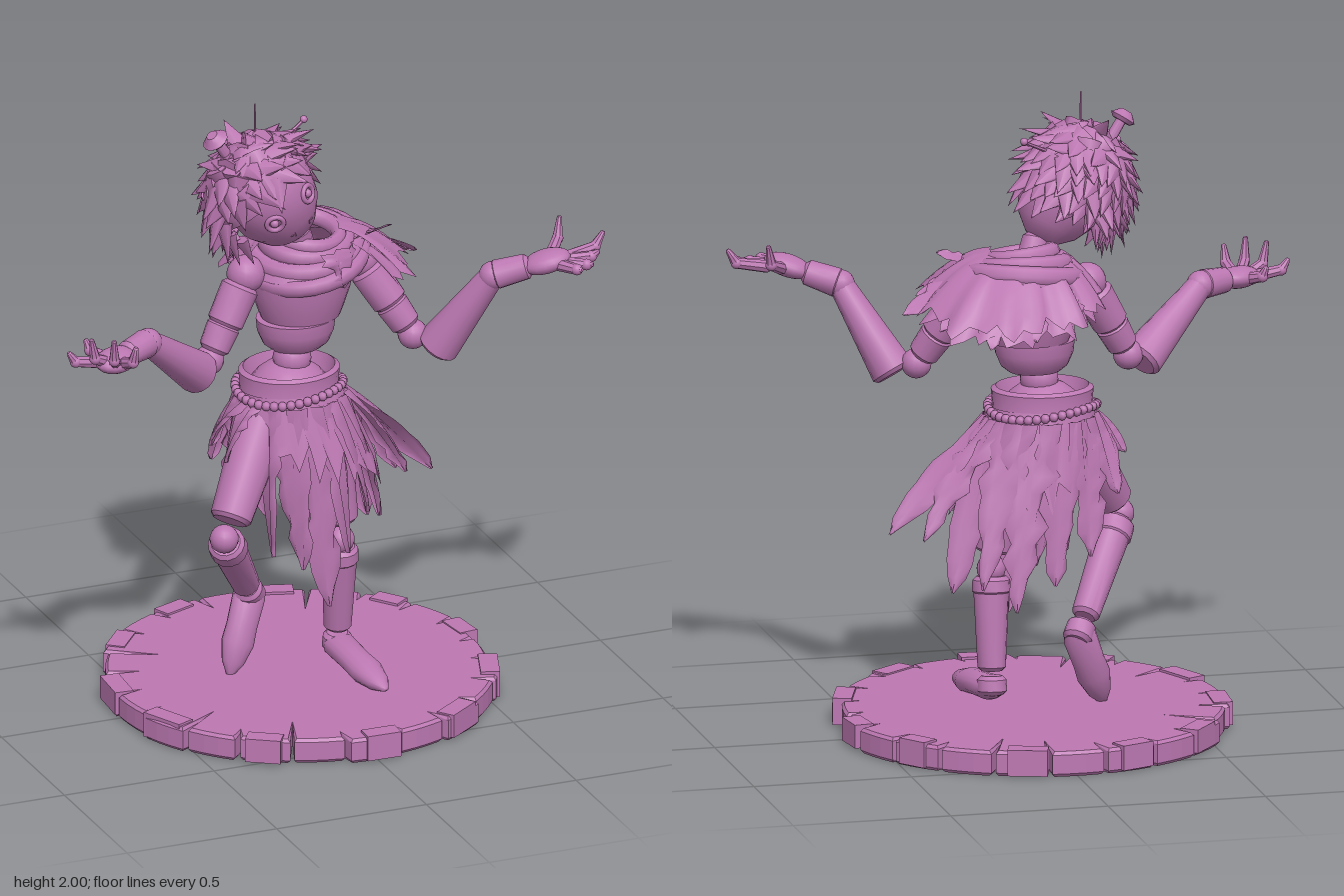
import * as THREE from 'three';
import { toCreasedNormals } from 'three/addons/utils/BufferGeometryUtils.js';

const V = (x, y, z) => new THREE.Vector3(x, y, z);
const UP = V(0, 1, 0);
const mat = new THREE.MeshStandardMaterial({ color: 0xbc78b2, side: THREE.DoubleSide });

let seed = 7;
const rnd = (a = 0, b = 1) => {
  seed = (seed * 16807) % 2147483647;
  return a + (b - a) * seed / 2147483647;
};

export function createModel() {
  const model = new THREE.Group();

  const add = (name, geo, pos = [0, 0, 0], parent = model) => {
    const m = new THREE.Mesh(geo, mat);
    m.name = name;
    m.position.set(...pos);
    parent.add(m);
    return m;
  };
  const group = (name, parent = model) => {
    const g = new THREE.Group();
    g.name = name;
    parent.add(g);
    return g;
  };
  const lathe = (pts, seg = 24) =>
    toCreasedNormals(new THREE.LatheGeometry(pts.map(p => new THREE.Vector2(...p)), seg), 0.6);
  const ball = (name, p, r, parent) => add(name, new THREE.SphereGeometry(r, 16, 12), p, parent);

  // Turned wooden piece running from a to b, radius r0 to r1
  const limb = (name, a, b, r0, r1, parent, seg = 14) => {
    const d = V(...b).sub(V(...a)), L = d.length(), c = Math.min(0.012, r1 * 0.4);
    const m = add(name, lathe([[0, 0], [r0 - c, 0], [r0, c], [r0 * 0.55 + r1 * 0.45, L * 0.45],
      [r1, L - c], [r1 - c, L], [0, L]], seg), a, parent);
    m.quaternion.setFromUnitVectors(UP, d.normalize());
    return m;
  };

  // Cloth sheet sampled from f(u, v)
  const sheet = (name, cols, rows, f, parent) => {
    const pos = [], idx = [];
    for (let j = 0; j <= rows; j++)
      for (let i = 0; i <= cols; i++) {
        pos.push(...f(i / cols, j / rows, i).toArray());
        const k = j * (cols + 1) + i;
        if (i < cols && j < rows) idx.push(k, k + cols + 1, k + 1, k + 1, k + cols + 1, k + cols + 2);
      }
    const g = new THREE.BufferGeometry();
    g.setAttribute('position', new THREE.Float32BufferAttribute(pos, 3));
    g.setIndex(idx);
    g.computeVertexNormals();
    return add(name, g, [0, 0, 0], parent);
  };

  // Torn strip of cloth from a to tip b, bulging outward along ang and twisting toward its tip
  const strip = (name, a, b, ang, w, twist, parent) => {
    const out = V(Math.sin(ang), 0, Math.cos(ang)), side = V(Math.cos(ang), 0, -Math.sin(ang));
    const axis = b.clone().sub(a).normalize();
    const mid = a.clone().lerp(b, 0.5).addScaledVector(out, 0.02);
    const curve = new THREE.QuadraticBezierCurve3(a, mid, b);
    sheet(name, 4, 11, (u, v, i) => {
      const jag = i % 4 === 0 && v > 0.15 ? rnd(0.55, 1.4) : 1;
      const half = w * 0.5 * Math.pow(1 - v, 0.5) * jag + 0.004;
      const s = side.clone().applyAxisAngle(axis, twist * v), o = out.clone().applyAxisAngle(axis, twist * v);
      return curve.getPoint(v).addScaledVector(s, (u * 2 - 1) * half)
        .addScaledVector(o, (i % 2 ? 0.016 : -0.008) * (1 - v * 0.5));
    }, parent);
  };

  // Split wooden slab base with loose bark blocks round the rim
  const base = group('woodenBase');
  base.position.x = -0.005;
  const slab = new THREE.Shape(), N = 22;
  for (let i = 0; i < N; i++) {
    const r = rnd(0.572, 0.615), a0 = (i / N) * Math.PI * 2, da = Math.PI * 2 / N;
    for (let k = 0; k <= 3; k++) {
      const a = a0 + da * (0.06 + k * 0.28);
      slab[i + k ? 'lineTo' : 'moveTo'](Math.cos(a) * r, Math.sin(a) * r);
    }
    const n = rnd() < 0.35 ? rnd(0.42, 0.5) : rnd(0.52, 0.56), an = a0 + da * rnd(0.9, 1);
    slab.lineTo(Math.cos(an) * n, Math.sin(an) * n);
  }
  slab.closePath();
  const slabGeo = new THREE.ExtrudeGeometry(slab,
    { depth: 0.06, bevelSize: 0.008, bevelThickness: 0.01, bevelSegments: 1 });
  add('slab', slabGeo.rotateX(-Math.PI / 2), [0, 0.008, 0], base);
  for (let i = 0; i < N; i += 2) {
    const a = i / N * Math.PI * 2 + rnd(-0.04, 0.04), end = Math.abs(Math.cos(a)) * 0.015;
    const block = add('barkBlock', new THREE.BoxGeometry(rnd(0.1, 0.15), rnd(0.074, 0.086), 0.06),
      [Math.sin(a) * 0.583, 0.045, Math.cos(a) * (0.583 + end)], base);
    block.rotation.set(0, a + rnd(-0.08, 0.08), 0);
  }

  // Torso
  const torso = group('torso');
  const chest = add('chest', lathe([[0, 0], [0.125, 0.005], [0.135, 0.03], [0.158, 0.1], [0.165, 0.16],
    [0.14, 0.205], [0.07, 0.23], [0, 0.235]], 28), [0.01, 1.235, -0.028], torso);
  chest.scale.z = 0.87;
  add('ribSection', lathe([[0, 0], [0.08, 0], [0.105, 0.02], [0.122, 0.06], [0.126, 0.1], [0, 0.105]]),
    [-0.01, 1.14, -0.018], torso).scale.z = 0.87;
  ball('waistBall', [-0.03, 1.11, 0], 0.06, torso);
  ball('pelvis', [-0.04, 0.97, 0], 0.14, torso);
  limb('neck', [0.01, 1.43, -0.01], [-0.03, 1.56, 0.03], 0.05, 0.042, torso);

  // Belt with beaded cord
  const belt = group('belt');
  add('beltBand', lathe([[0.168, 0], [0.155, 0.04], [0.16, 0.095], [0.145, 0.105], [0.13, 0.05], [0, 0.045]], 28),
    [-0.04, 0.985, 0], belt).scale.z = 0.87;
  for (let i = 0; i < 40; i++) {
    const a = i / 40 * Math.PI * 2;
    add('bead', new THREE.SphereGeometry(0.015, 8, 6),
      [-0.04 + Math.sin(a) * 0.17, 1.02 + 0.012 * Math.sin(a * 2), Math.cos(a) * 0.148], belt);
  }

  // Tattered skirt
  const skirt = group('skirt');
  sheet('skirtCloth', 48, 5, (u, v, i) => {
    const a = u * Math.PI * 2, k = i % 48;
    const hem = 0.21 + 0.08 * Math.sin(a - 0.3) + (k % 2 ? 0.06 : 0) + 0.03 * Math.sin(k * 2.3);
    const r = 0.162 + 0.07 * v + (k % 2 ? 0.012 : -0.008) * v;
    return V(-0.04 + 0.05 * v + Math.sin(a) * r, 1.03 - hem * v, Math.cos(a) * r * 0.84);
  }, skirt);
  [[0.03, 0.33, 0.155, 0.16], [-0.06, 0.47, 0.165, 0.13], [-0.15, 0.52, 0.145, 0.1], [0.09, 0.5, 0.16, 0.12],
    [-0.29, 0.84, 0.1, 0.1], [-0.3, 0.86, 0, 0.1], [-0.25, 0.76, -0.12, 0.12], [-0.15, 0.58, -0.18, 0.14],
    [-0.03, 0.5, -0.21, 0.15], [0.1, 0.43, -0.24, 0.16], [0.2, 0.5, -0.21, 0.14], [0.28, 0.48, -0.14, 0.14],
    [0.36, 0.64, -0.1, 0.12], [0.45, 0.65, -0.03, 0.12], [0.33, 0.69, 0.05, 0.11], [0.22, 0.58, 0.1, 0.1],
    [0.16, 0.62, 0.145, 0.11]].forEach(([x, y, z, w]) => {
    const a = Math.atan2(x - 0.02, z);
    strip('skirtStrip', V(-0.035 + Math.sin(a) * 0.162, 1.0, Math.cos(a) * 0.142), V(x, y, z), a, w,
      -1.1 * Math.sin(a), skirt);
  });

  // Shawl: wrapped folds, ragged layered cape over the back and left shoulder
  const shawl = group('shawl');
  [[0.09, 0.022, 1.51, -0.03], [0.12, 0.024, 1.485, -0.05], [0.15, 0.026, 1.455, -0.06],
    [0.165, 0.022, 1.425, -0.05]].forEach(([R, t, y, z], i) => {
    const m = add('neckFold', new THREE.TorusGeometry(R, t, 8, 28), [0.035, y, z], shawl);
    m.rotation.set(Math.PI / 2 + 0.2, 0.1 * i - 0.1, 0);
    m.scale.set(1.1, 1.05, 1.3);
  });
  for (const layer of [0, 1])
    sheet('capeLayer', 44, 6, (u, v, i) => {
      const a = 0.95 + u * 3.75; // from the left front, round the back, to the right shoulder
      const left = Math.max(0, Math.sin(a)), back = Math.max(0, -Math.cos(a));
      const zig = 0.02 + 0.02 * Math.sin(i * 2.1 + layer) + 0.015 * Math.sin(i * 0.9);
      const r = 0.1 + (0.08 + 0.12 * left + 0.1 * back + zig - 0.03 * layer) * Math.pow(v, 0.8);
      const fold = 0.013 * Math.sin(i * 1.3 + layer * 2) * v;
      return V(0.03 + Math.sin(a) * (r + fold),
        1.53 - 0.035 * layer - (0.08 + 0.04 * left + 0.08 * back + zig * 0.8) * Math.pow(v, 1.4),
        -0.03 + Math.cos(a) * (r + fold));
    }, shawl);
  [[0.42, 1.36, -0.09, 0.13], [0.36, 1.4, -0.02, 0.11], [0.33, 1.33, -0.2, 0.14], [0.2, 1.29, -0.31, 0.15],
    [0.06, 1.31, -0.33, 0.15], [-0.08, 1.35, -0.29, 0.13], [0.28, 1.52, 0.04, 0.08],
    [0.09, 1.37, 0.12, 0.13]].forEach(([x, y, z, w]) => {
    const a = Math.atan2(x - 0.03, z + 0.03);
    strip('shawlStrip', V(0.03 + Math.sin(a) * 0.14, 1.49, -0.03 + Math.cos(a) * 0.14), V(x, y, z), a, w,
      -0.6 * Math.sin(a), shawl);
  });

  // Head, tilted toward the right shoulder
  const head = group('head');
  head.position.set(-0.135, 1.7, 0.06);
  head.rotation.set(0.08, 0.2, 0.56);
  add('face', lathe([[0, -0.195], [0.05, -0.183], [0.098, -0.14], [0.136, -0.07], [0.15, 0.01], [0.144, 0.08],
    [0.115, 0.135], [0.06, 0.168], [0, 0.178]], 32), [0, 0, 0], head);
  for (const s of [-1, 1]) {
    const eye = add('buttonEye', new THREE.TorusGeometry(0.026, 0.008, 8, 18), [s * 0.07, 0.005, 0.133], head);
    eye.rotation.y = s * 0.47;
    ball('pupil', [s * 0.07, 0.005, 0.13], 0.014, head);
  }
  limb('mouth', [-0.045, -0.095, 0.112], [0.045, -0.095, 0.112], 0.006, 0.006, head, 6);
  for (let i = -1; i <= 1; i++)
    limb('mouthStitch', [i * 0.03, -0.11, 0.107], [i * 0.03, -0.08, 0.121], 0.005, 0.005, head, 6);

  // Broad leafy hair tufts lying over crown, sides and back, fuller on the right side
  const hair = group('hair', head);
  const cap = add('hairCap', new THREE.SphereGeometry(0.165, 24, 12, 0, Math.PI * 2, 0, 1.75), [-0.01, 0.03, -0.01], hair);
  cap.rotation.x = -0.5;
  cap.scale.z = 0.92;
  for (let i = 0; i < 180; i++) {
    const y = 1 - 1.6 * (i + 0.5) / 180, q = Math.sqrt(1 - y * y), a = i * 2.39996;
    const d = V(Math.sin(a) * q, y, Math.cos(a) * q);
    if (d.z > 0.25 && d.y < 0.5 || d.z > -0.05 && d.y < -0.05 && d.x > -0.5) continue;
    const dir = d.clone().multiplyScalar(0.6).add(V(rnd(-0.35, 0.35), rnd(-1, -0.4), rnd(-0.2, 0.3))).normalize();
    const L = rnd(0.09, 0.13) * (d.z < -0.5 ? 0.85 : 1);
    const x = dir.clone().cross(d).normalize();
    const p = d.clone().multiply(V(d.x < 0 ? 0.188 : 0.168, 0.172, 0.153)).add(V(-0.005, 0.022, -0.005));
    const leaf = add('hairTuft', new THREE.ConeGeometry(0.044, L, 6).translate(0, L * 0.3, 0).scale(1, 1, 0.45),
      p.toArray(), hair);
    leaf.quaternion.setFromRotationMatrix(new THREE.Matrix4().makeBasis(x, dir, x.clone().cross(dir)));
  }

  // Hair ornaments
  limb('knobStem', [-0.26, 1.83, 0.05], [-0.31, 1.905, 0.06], 0.018, 0.016);
  limb('knobCap', [-0.305, 1.895, 0.06], [-0.325, 1.925, 0.065], 0.042, 0.03);
  limb('hairPin', [-0.1, 1.81, 0.0], [0.03, 1.875, -0.05], 0.007, 0.005, model, 6);
  ball('pinHead', [0.03, 1.877, -0.05], 0.012);
  limb('sprig', [-0.17, 1.84, 0.04], [-0.175, 2.0, 0.05], 0.004, 0.0025, model, 6);

  // Jointed arms
  const arm = (name, sh, el, bell, wrist, palm, tips) => {
    const g = group(name);
    const at = t => V(...sh).lerp(V(...el), t).toArray();
    ball('shoulderJoint', sh, 0.06, g);
    limb('upperArm', at(0.12), at(0.6), 0.06, 0.057, g);
    limb('upperArmCuff', at(0.57), at(0.9), 0.053, 0.048, g);
    ball('elbowJoint', el, 0.047, g);
    limb('forearm', bell, wrist, 0.068, 0.04, g);
    ball('wristJoint', wrist, 0.044, g);
    limb('handCuff', wrist, V(...wrist).lerp(V(...palm), 0.7).toArray(), 0.046, 0.04, g);
    const p = ball('palm', palm, 0.06, g);
    p.quaternion.setFromUnitVectors(V(1, 0, 0), V(...palm).sub(V(...wrist)).normalize());
    p.scale.set(1.3, 0.58, 0.95);
    for (const t of tips) {
      const root = V(...palm).lerp(V(...t), 0.3), mid = V(...palm).lerp(V(...t), 0.85);
      root.y = palm[1];
      mid.y = palm[1] + (t[1] - palm[1]) * 0.3;
      limb('fingerBase', root.toArray(), mid.toArray(), 0.02, 0.017, g, 8);
      ball('knuckle', mid.toArray(), 0.018, g);
      limb('fingerTip', mid.toArray(), t, 0.017, 0.008, g, 8);
    }
  };
  arm('rightArm', [-0.18, 1.41, -0.01], [-0.32, 1.16, 0.03], [-0.36, 1.13, 0.05], [-0.59, 1.325, 0.19], [-0.73, 1.32, 0.27],
    [[-0.89, 1.37, 0.27], [-0.83, 1.42, 0.31], [-0.775, 1.425, 0.36], [-0.71, 1.4, 0.38], [-0.8, 1.37, 0.19]]);
  arm('leftArm', [0.2, 1.4, -0.01], [0.34, 1.16, 0.08], [0.4, 1.12, 0.12], [0.54, 1.385, 0.24], [0.69, 1.435, 0.31],
    [[0.885, 1.5, 0.3], [0.85, 1.46, 0.35], [0.81, 1.44, 0.4], [0.76, 1.44, 0.43], [0.78, 1.53, 0.2]]);

  // Jointed legs
  const leg = (name, hip, knee, ankle, toe, up) => {
    const g = group(name);
    const mix = (a, b, t) => V(...a).lerp(V(...b), t).toArray();
    ball('hipJoint', hip, 0.085, g);
    limb('thigh', hip, mix(hip, knee, 0.86), 0.085, 0.066, g);
    ball('kneeJoint', knee, 0.045, g);
    limb('shin', mix(knee, ankle, 0.1), mix(knee, ankle, 0.86), 0.056, 0.044, g);
    limb('kneeCuff', mix(knee, ankle, 0.06), mix(knee, ankle, 0.22), 0.058, 0.06, g);
    ball('ankleJoint', ankle, 0.036, g);
    // Shoe: turned along its sole with a pointed toe
    const d = V(...toe).sub(V(...ankle)), L = d.length() + 0.05;
    const shoe = add('shoe', lathe([[0, -0.05], [0.035, -0.04], [0.053, 0], [0.05, L * 0.35], [0.053, L * 0.55],
      [0.036, L * 0.78], [0.012, L * 0.92], [0, L * 0.94]], 16), mix(ankle, toe, 0.05), g);
    const y = d.normalize(), x = y.clone().cross(V(...up)).normalize();
    shoe.quaternion.setFromRotationMatrix(new THREE.Matrix4().makeBasis(x, y, x.clone().cross(y)));
    shoe.scale.z = 0.75;
    limb('shoeCollar', mix(ankle, knee, -0.06), mix(ankle, knee, 0.1), 0.047, 0.045, g);
  };
  leg('rightLeg', [-0.13, 0.95, 0.02], [-0.33, 0.62, 0.175], [-0.135, 0.31, -0.085], [-0.215, 0.11, -0.03], [0, 0.3, 1]);
  leg('leftLeg', [0.06, 0.93, 0.02], [0.11, 0.5, 0.05], [0.12, 0.135, 0.0], [0.145, 0.1, 0.28], [0, 1, 0]);

  return model;
}
